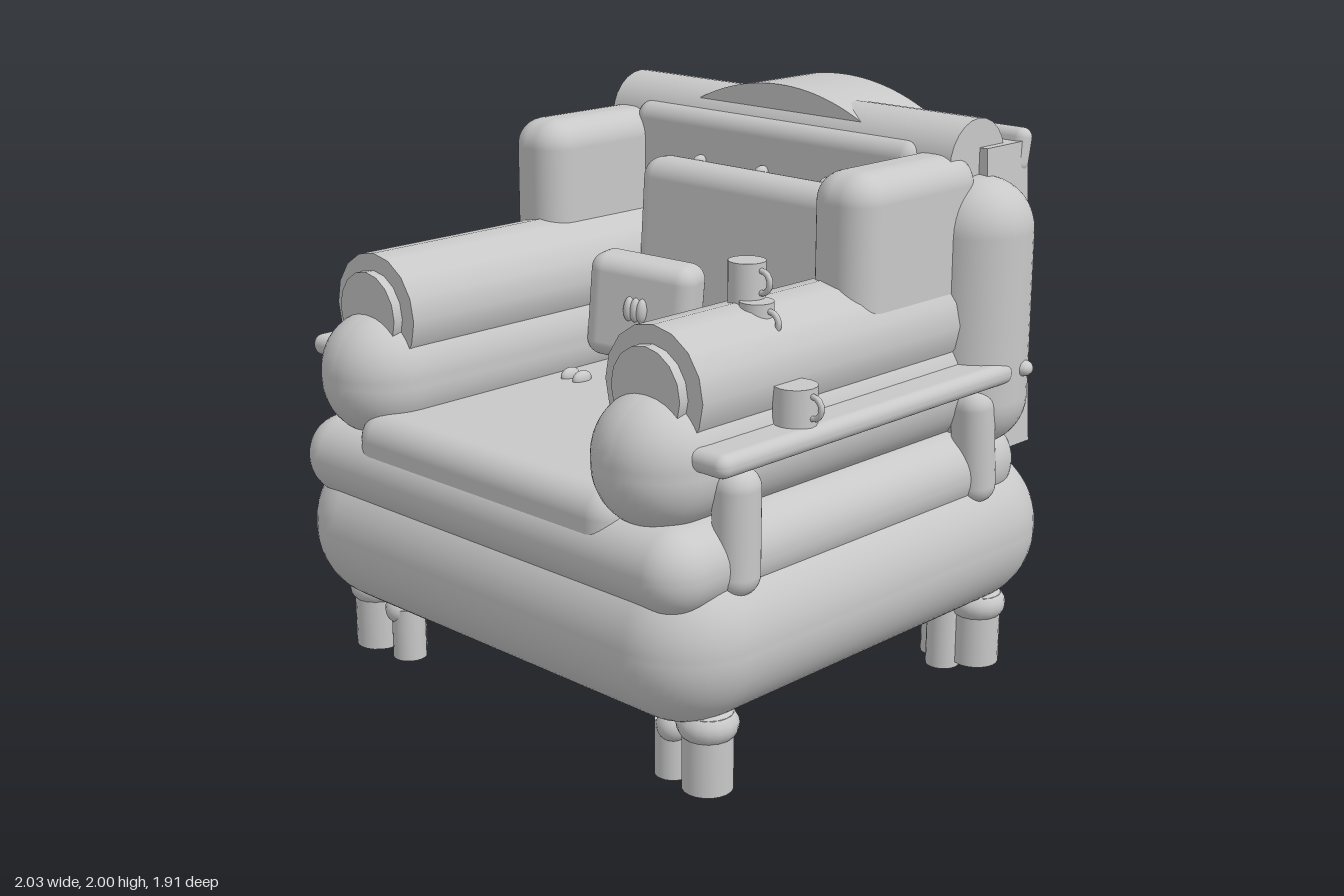
import * as THREE from 'three';
import { RoundedBoxGeometry } from 'three/addons/geometries/RoundedBoxGeometry.js';

export function createModel() {
  const model = new THREE.Group();
  model.name = 'armchair';
  const grey = new THREE.MeshStandardMaterial({ color: 0xc8c8c8 });
  grey.name = 'upholstery grey';

  const add = (name, geometry, x = 0, y = 0, z = 0, parent = model) => {
    const mesh = new THREE.Mesh(geometry, grey);
    mesh.name = name;
    mesh.position.set(x, y, z);
    parent.add(mesh);
    return mesh;
  };
  // Rounded block given by its extents
  const block = (name, [x0, x1], [y0, y1], [z0, z1], r, seg = 5) =>
    add(name, new RoundedBoxGeometry(x1 - x0, y1 - y0, z1 - z0, seg, r),
      (x0 + x1) / 2, (y0 + y1) / 2, (z0 + z1) / 2);
  const ball = (name, x, y, z, rx, ry = rx, rz = rx, parent = model) => {
    const m = add(name, new THREE.SphereGeometry(1, 16, 12), x, y, z, parent);
    m.scale.set(rx, ry, rz);
    return m;
  };
  const post = (name, r, x, y0, y1, z, parent = model) =>
    add(name, new THREE.CylinderGeometry(r, r, y1 - y0, 20), x, (y0 + y1) / 2, z, parent);

  // Stacked base and seat
  block('base', [-0.99, 0.99], [0.23, 0.8], [-0.96, 0.955], 0.275, 6);
  block('middleLayer', [-0.93, 0.93], [0.63, 0.915], [-0.8, 0.95], 0.14);
  block('seatCushion', [-0.62, 0.62], [0.76, 0.985], [-0.55, 0.93], 0.09);
  for (const x of [-0.4, -0.34, 0, 0.34, 0.4]) ball('seatButton', x, 0.99, 0.12, 0.022, 0.03, 0.042);

  // Back shell, wider at the bottom
  const shell = new THREE.Shape([[-0.88, 0.81], [0.88, 0.81], [0.82, 1.86], [-0.82, 1.86]]
    .map(([x, y]) => new THREE.Vector2(x, y)));
  add('backShell', new THREE.ExtrudeGeometry(shell, { depth: 0.23, bevelEnabled: false }), 0, 0, -0.87);
  block('backCushion', [-0.66, 0.66], [0.85, 1.88], [-0.75, -0.45], 0.06);
  for (const x of [-0.3, 0, 0.3]) ball('backButton', x, 1.7, -0.44, 0.022, 0.022, 0.03);

  // Top roll, crest and rear rail
  const roll = add('topRoll', new THREE.CylinderGeometry(0.15, 0.15, 1.58, 24), 0, 1.81, -0.63);
  roll.rotation.z = Math.PI / 2;
  const crest = new THREE.Shape();
  crest.moveTo(-0.55, 1.798);
  crest.absarc(0, 1.15, 0.85, Math.PI - 0.867, 0.867, true);
  crest.closePath();
  add('crest', new THREE.ExtrudeGeometry(crest, { depth: 0.35, bevelEnabled: false, curveSegments: 20 }), 0, 0, -0.87);
  const rail = add('rearRail', new RoundedBoxGeometry(1.66, 0.155, 0.075, 4, 0.035), 0, 1.825, -0.857);
  rail.rotation.x = -0.2;

  // Loose lumbar pillow
  const lumbar = block('lumbarPillow', [-0.49, 0.49], [0.98, 1.71], [-0.46, -0.28], 0.075);
  lumbar.rotation.x = -0.07;

  // Throw pillow turned towards the left arm
  const pillow = new THREE.Group();
  pillow.name = 'throwPillow';
  pillow.position.set(-0.275, 1.21, -0.135);
  pillow.rotation.set(0, 0.33, -0.08);
  model.add(pillow);
  add('pillowBody', new RoundedBoxGeometry(0.41, 0.38, 0.17, 5, 0.06), 0, 0, 0, pillow);
  for (const x of [-0.025, 0, 0.025]) ball('pillowButton', x, 0.015, 0.085, 0.02, 0.045, 0.025, pillow);

  for (const s of [-1, 1]) {
    const span = (a, b) => (s > 0 ? [a, b] : [-b, -a]);

    // Arms: padded lower body, long roll and end disc
    block('armBody', span(0.455, 0.88), [0.86, 1.3], [-0.7, 0.95], 0.205);
    const arm = add('armRoll', new THREE.CylinderGeometry(0.205, 0.205, 1.4, 16), s * 0.665, 1.295, 0.07);
    arm.rotation.x = Math.PI / 2;
    const disc = add('armDisc', new THREE.CylinderGeometry(0.145, 0.145, 0.04, 16), s * 0.665, 1.295, 0.785);
    disc.rotation.x = Math.PI / 2;

    // Wings, outer bolsters and rear pads
    block('wing', span(0.59, 0.835), [1.3, 1.85], [-0.62, 0.015], 0.1);
    block('outerBolster', span(0.6, 0.985), [0.84, 1.77], [-0.82, -0.45], 0.18);
    block('rearPad', span(0.62, 0.77), [1.09, 1.76], [-0.92, -0.82], 0.049);

    // Side tray with its posts and knob
    block('sideTray', span(0.82, 0.99), [1.09, 1.165], [-0.62, 0.81], 0.035);
    ball('trayKnob', s * 0.975, 1.13, -0.68, 0.035, 0.028, 0.035);
    block('frontPost', span(0.82, 0.965), [0.67, 1.085], [0.57, 0.72], 0.07);
    const rear = block('rearPost', span(0.82, 0.965), [0.67, 1.08], [-0.6, -0.46], 0.065);
    rear.rotation.x = 0.08;

    // Clustered feet
    for (const t of [-1, 1]) {
      const foot = new THREE.Group();
      foot.name = 'foot';
      model.add(foot);
      post('footMain', 0.082, s * 0.82, 0.02, 0.28, t * 0.69, foot);
      ball('footCap', s * 0.82, 0.24, t * 0.69, 0.1, 0.07, 0.1, foot);
      post('footInner', 0.06, s * 0.66, 0.01, 0.2, t * 0.68, foot);
      ball('footInnerCap', s * 0.68, 0.19, t * 0.7, 0.055, 0.055, 0.055, foot);
      post('footSmall', 0.06, s * 0.73, 0, 0.26, t * 0.62, foot);
    }
  }

  // Mugs on the left arm and tray
  for (const [x, y0, y1, z, r] of [[0.66, 1.46, 1.625, 0.355, 0.06], [0.72, 1.4, 1.51, 0.375, 0.055], [0.9, 1.15, 1.285, 0.395, 0.07]]) {
    const mug = new THREE.Group();
    mug.name = 'mug';
    model.add(mug);
    post('mugBody', r, x, y0, y1, z, mug);
    add('mugHandle', new THREE.TorusGeometry(0.035, 0.01, 8, 16), x + r, y1 - 0.06, z, mug);
  }
  return model;
}
